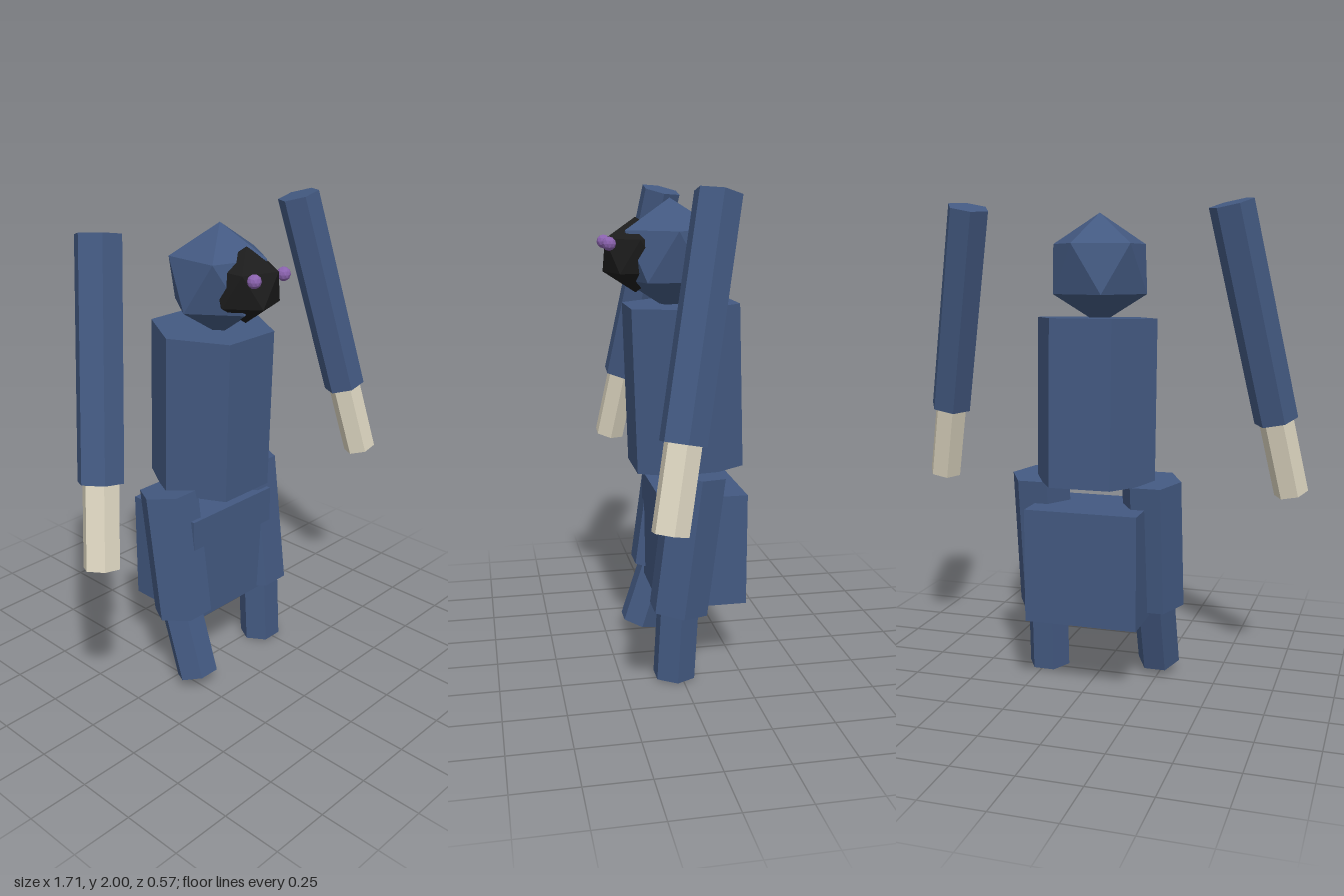
import * as THREE from 'three';

const mat = (name, color) => {
  const m = new THREE.MeshStandardMaterial({ color, flatShading: true });
  m.name = name;
  return m;
};

export function createModel() {
  const blue = mat('slate blue', 0x435981);
  const cream = mat('cream', 0xdcd5c0);
  const black = mat('black', 0x1c1c1c);
  const purple = mat('purple', 0x8a62ae);
  const model = new THREE.Group();
  model.name = 'figure';

  const add = (parent, name, geometry, material, x = 0, y = 0, z = 0) => {
    const mesh = new THREE.Mesh(geometry, material);
    mesh.name = name;
    mesh.position.set(x, y, z);
    parent.add(mesh);
    return mesh;
  };

  // Six-sided bar between two points, corners facing sideways
  const bar = (parent, name, from, to, radius, material) => {
    const a = new THREE.Vector3(...from), b = new THREE.Vector3(...to);
    const geometry = new THREE.CylinderGeometry(radius, radius, a.distanceTo(b), 6);
    geometry.rotateY(Math.PI / 6);
    const mesh = add(parent, name, geometry, material);
    mesh.position.copy(a).lerp(b, 0.5);
    mesh.quaternion.setFromUnitVectors(new THREE.Vector3(0, 1, 0), a.clone().sub(b).normalize());
    return mesh;
  };

  // Twenty-sided gem standing on one corner
  const gem = (radius, detail = 0) => new THREE.IcosahedronGeometry(radius, detail)
    .rotateX(-Math.atan((1 + Math.sqrt(5)) / 2)).rotateY(Math.PI / 2);

  // Head, muzzle and eyes
  const head = new THREE.Group();
  head.name = 'head';
  model.add(head);
  add(head, 'skull', gem(0.224), blue, 0, 1.73, 0);
  add(head, 'muzzle', gem(0.15), black, 0, 1.73, 0.14);
  for (const side of [-1, 1]) {
    add(head, side > 0 ? 'leftEye' : 'rightEye', gem(0.028, 1), purple, side * 0.083, 1.78, 0.257);
  }

  // Torso leaning slightly forward, and hips
  bar(model, 'torso', [0, 1.534, -0.043], [0, 0.861, -0.064], 0.255, blue);
  add(model, 'hips', new THREE.BoxGeometry(0.47, 0.47, 0.36), blue, 0, 0.535, -0.1);

  // Arms: sleeve and bare forearm on one line
  for (const side of [-1, 1]) {
    const arm = new THREE.Group();
    arm.name = side > 0 ? 'leftArm' : 'rightArm';
    model.add(arm);
    const top = new THREE.Vector3(side * 0.548, 1.98, -0.068);
    const end = new THREE.Vector3(side * 0.783, 0.815, 0.15);
    const at = (t) => top.clone().lerp(end, t).toArray();
    bar(arm, 'sleeve', at(0), at(0.735), 0.09, blue);
    bar(arm, 'forearm', at(0.65), at(1), 0.071, cream);
  }

  // Legs, caught in mid step
  const leg = (name, x, hip, knee, shinTop, foot) => {
    const group = new THREE.Group();
    group.name = name;
    model.add(group);
    bar(group, 'thigh', [x, ...hip], [x, ...knee], 0.125, blue);
    bar(group, 'shin', [x, ...shinTop], [x, ...foot], 0.09, blue);
  };
  leg('leftLeg', 0.24, [0.877, -0.062], [0.3, 0.01], [0.4, 0.008], [0.009, 0.029]);
  leg('rightLeg', -0.24, [0.877, -0.062], [0.335, 0.013], [0.41, -0.02], [0.054, 0.096]);

  return model;
}
